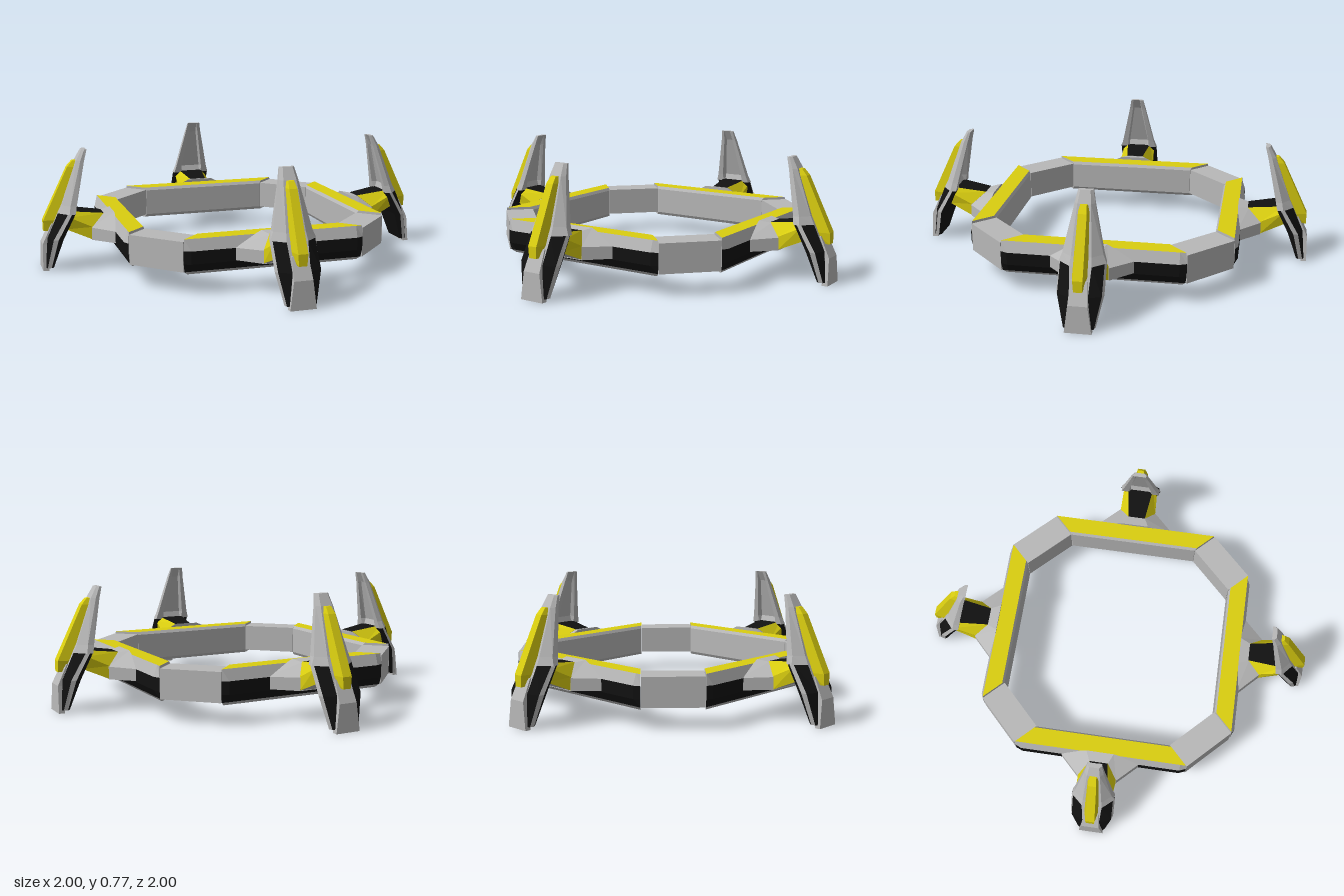
import * as THREE from 'three';

const material = (name, color) => {
  const m = new THREE.MeshStandardMaterial({ color, flatShading: true });
  m.name = name;
  return m;
};

// Mirror half of a cross-section across x = 0 to close the loop
const mirror = (half) => [...half, ...half.slice().reverse().map(([x, y, z]) => [-x, y, z])];

// Horizontal symmetric section at height y from [x, z] pairs
const level = (y, ...pts) => mirror(pts.map(([x, z]) => [x, y, z]));

// Skin between loops of points; one colour letter per side, one for both end caps
function loft(name, mats, loops, sides, cap) {
  const tris = {};
  const add = (key, ...p) => (tris[key] ??= []).push(...p);
  const n = loops[0].length;
  for (let s = 0; s < loops.length - 1; s++) {
    for (let i = 0; i < n; i++) {
      const j = (i + 1) % n, a = loops[s], b = loops[s + 1];
      add(sides[i % sides.length], a[i], a[j], b[j], a[i], b[j], b[i]);
    }
  }
  for (const [loop, flip] of [[loops[0], true], [loops.at(-1), false]]) {
    const c = [0, 1, 2].map((k) => loop.reduce((sum, p) => sum + p[k], 0) / n);
    for (let i = 0; i < n; i++) {
      const j = (i + 1) % n;
      add(cap, c, loop[flip ? j : i], loop[flip ? i : j]);
    }
  }
  // Turn the skin outward if its enclosed volume is negative
  const all = Object.values(tris).flat().map((p) => new THREE.Vector3(...p));
  let volume = 0;
  for (let i = 0; i < all.length; i += 3) {
    volume += all[i].dot(all[i + 1].clone().cross(all[i + 2]));
  }
  if (volume < 0) {
    for (let i = 0; i < all.length; i += 3) [all[i + 1], all[i + 2]] = [all[i + 2], all[i + 1]];
  }
  const geo = new THREE.BufferGeometry().setFromPoints(all);
  let start = 0;
  const used = Object.keys(tris).map((key, i) => {
    geo.addGroup(start, tris[key].length, i);
    start += tris[key].length;
    return mats[key];
  });
  geo.computeVertexNormals();
  const mesh = new THREE.Mesh(geo, used.length > 1 ? used : used[0]);
  mesh.name = name;
  return mesh;
}

// Long ring side with mitred ends, yellow panels above and below
function ringSide(m) {
  const profile = [
    [0.714, 0.14], [0.714, 0.32], [0.726, 0.34], [0.838, 0.34], [0.862, 0.27],
    [0.862, 0.19], [0.835, 0.14], [0.815, 0.12], [0.726, 0.12],
  ];
  const end = (side) => profile.map(([d, y]) => {
    const z = Math.min(d, 0.843);
    return [side * (z - 0.27), y, z];
  });
  const inner = (side) => profile.map(([d, y]) => [side * Math.min(d - 0.28, 0.53), y, d]);
  return loft('ringSide', m, [end(-1), inner(-1), inner(1), end(1)], 'ggygkkgyg', 'g');
}

// Wedge that joins the ring to the arm
const mount = (m) => loft('armMount', m, [
  mirror([[0.09, 0.36, 0.835], [0.275, 0.27, 0.845], [0.275, 0.195, 0.845]]),
  mirror([[0.06, 0.348, 0.905], [0.127, 0.275, 0.99], [0.127, 0.195, 0.99]]),
], 'g', 'g');

// Rising arm with black top and yellow sides
const neck = (m) => loft('arm', m, [
  mirror([[0.06, 0.352, 0.9], [0.126, 0.28, 0.985], [0.126, 0.197, 0.985]]),
  mirror([[0.09, 0.385, 1.13], [0.12, 0.35, 1.13], [0.1, 0.27, 1.15]]),
], 'yygyyk', 'g');

// Upper fin, hollowed on its inner face
const fin = (m) => loft('fin', m, [
  level(0.77, [0.03, 1.025], [0.045, 1.01], [0.045, 0.995], [0.03, 0.995], [0.02, 0.996]),
  level(0.70, [0.04, 1.065], [0.06, 1.04], [0.058, 1.015], [0.035, 1.015], [0.025, 1.035]),
  level(0.42, [0.06, 1.17], [0.12, 1.12], [0.12, 1.08], [0.08, 1.08], [0.07, 1.115]),
  level(0.37, [0.065, 1.195], [0.14, 1.13], [0.135, 1.09], [0.08, 1.09], [0.07, 1.1]),
], 'g', 'g');

// Lower leg: grey rims between black flanks
const leg = (m) => loft('leg', m, [
  level(0.37, [0.065, 1.195], [0.13, 1.14], [0.14, 1.115], [0.125, 1.09]),
  level(0.21, [0.055, 1.265], [0.13, 1.235], [0.14, 1.205], [0.12, 1.17]),
  level(0.02, [0.075, 1.285], [0.09, 1.275], [0.096, 1.25], [0.085, 1.235]),
], 'kgkkkgkg', 'k');

// Grey plate down the outside of the leg, ending in the foot
const foot = (m) => loft('foot', m, [
  level(0.30, [0.05, 1.235], [0.05, 1.2]),
  level(0.17, [0.058, 1.297], [0.058, 1.25]),
  level(0, [0.08, 1.302], [0.08, 1.265]),
], 'g', 'g');

// Raised yellow ridge on the outer face of the fin
const spine = (m) => loft('finRidge', m, [
  level(0.70, [0.018, 1.085], [0.025, 1.05]),
  level(0.66, [0.025, 1.12], [0.035, 1.07]),
  level(0.32, [0.03, 1.285], [0.05, 1.19]),
  level(0.25, [0.025, 1.285], [0.03, 1.22]),
], 'y', 'y');

export function createModel() {
  const m = {
    g: material('grey hull', 0xb8b8b8),
    y: material('yellow panel', 0xdace10),
    k: material('black plating', 0x111111),
  };
  const model = new THREE.Group();
  model.name = 'ringStation';
  for (let k = 0; k < 4; k++) {
    // Short straight ring block
    const block = new THREE.Group();
    block.name = 'ringBlock';
    const box = new THREE.Mesh(new THREE.BoxGeometry(0.376, 0.185, 0.18), m.g);
    box.name = 'blockBody';
    box.position.set(0, 0.2325, 0.91);
    block.add(box);
    block.rotation.y = (k * Math.PI) / 2;
    // Diagonal side with its arm, fin and leg
    const corner = new THREE.Group();
    corner.name = 'corner';
    corner.add(...[ringSide, mount, neck, fin, leg, foot, spine].map((part) => part(m)));
    corner.rotation.y = Math.PI / 4 + (k * Math.PI) / 2;
    model.add(block, corner);
  }
  return model;
}
